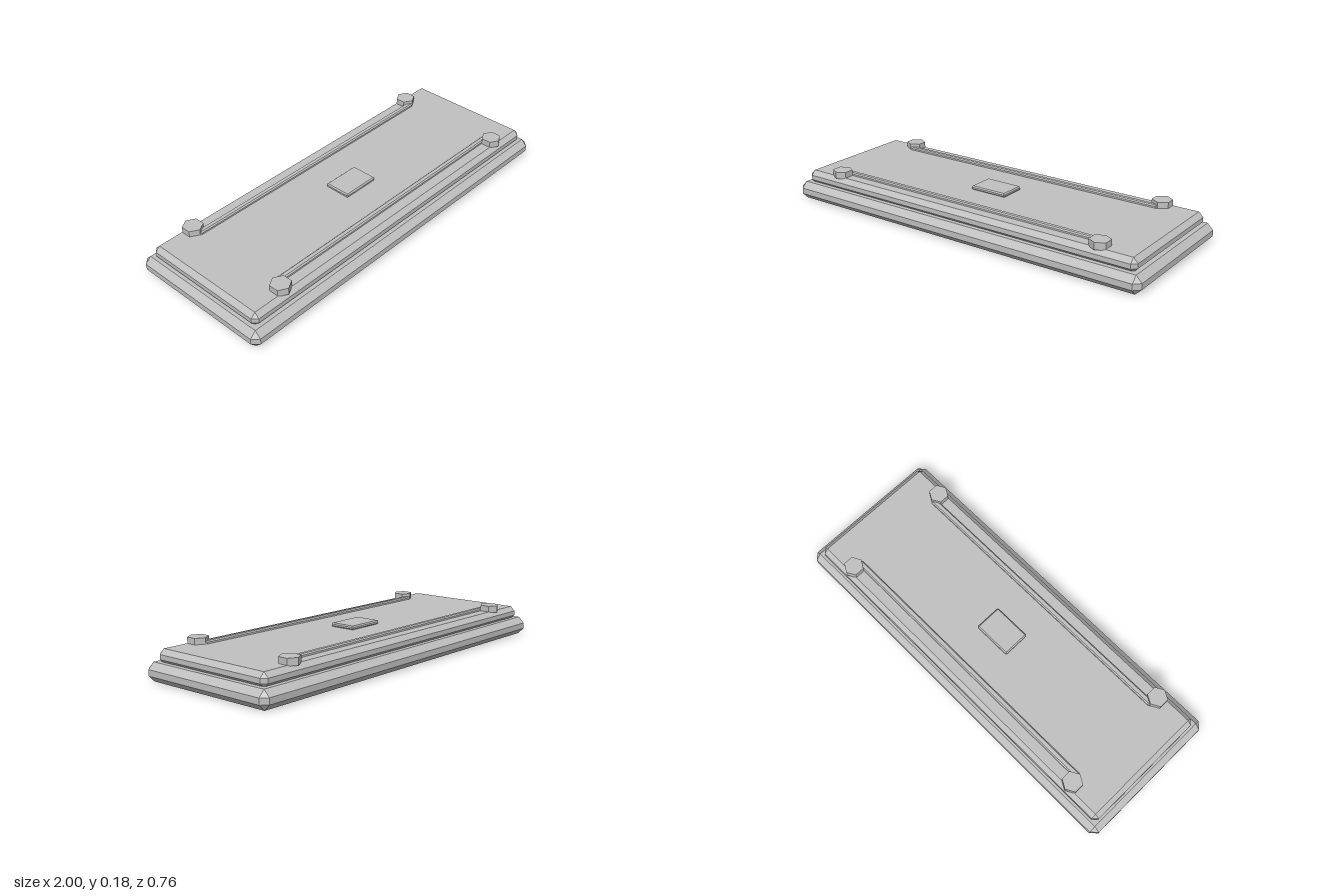
import * as THREE from 'three';
import { ConvexGeometry } from 'three/addons/geometries/ConvexGeometry.js';

// Box with every edge and corner cut flat by c
function chamferBox(w, h, d, c) {
  const points = [];
  for (const sx of [-1, 1]) for (const sy of [-1, 1]) for (const sz of [-1, 1]) {
    const x = w / 2, y = h / 2, z = d / 2;
    points.push(
      new THREE.Vector3(sx * x, sy * (y - c), sz * (z - c)),
      new THREE.Vector3(sx * (x - c), sy * y, sz * (z - c)),
      new THREE.Vector3(sx * (x - c), sy * (y - c), sz * z)
    );
  }
  return new ConvexGeometry(points);
}

export function createModel() {
  const group = new THREE.Group();
  const metal = new THREE.MeshStandardMaterial({ color: 0xc0c0c0 });
  metal.name = 'grey metal';

  function add(name, geometry, x, y, z) {
    const mesh = new THREE.Mesh(geometry, metal);
    mesh.name = name;
    mesh.position.set(x, y, z);
    group.add(mesh);
  }

  // Stacked slabs
  add('baseSlab', chamferBox(2, 0.09, 0.76, 0.03), 0, 0.045, 0);
  add('upperSlab', chamferBox(1.92, 0.07, 0.68, 0.0233), 0, 0.115, 0);

  // Raised plate in the middle
  add('centrePlate', chamferBox(0.2, 0.02, 0.14, 0.006), 0, 0.159, 0);

  // Long rails with a hexagonal bolt at each end
  const rail = chamferBox(1.52, 0.02, 0.03, 0.006);
  const bolt = new THREE.CylinderGeometry(0.05, 0.05, 0.035, 6).toNonIndexed();
  bolt.computeVertexNormals();
  for (const sz of [1, -1]) {
    const end = sz > 0 ? 'front' : 'back';
    add(end + 'Rail', rail, 0, 0.154, sz * 0.25);
    for (const sx of [1, -1]) {
      add(end + (sx > 0 ? 'Left' : 'Right') + 'Bolt', bolt, sx * 0.76, 0.1625, sz * 0.29);
    }
  }
  return group;
}
